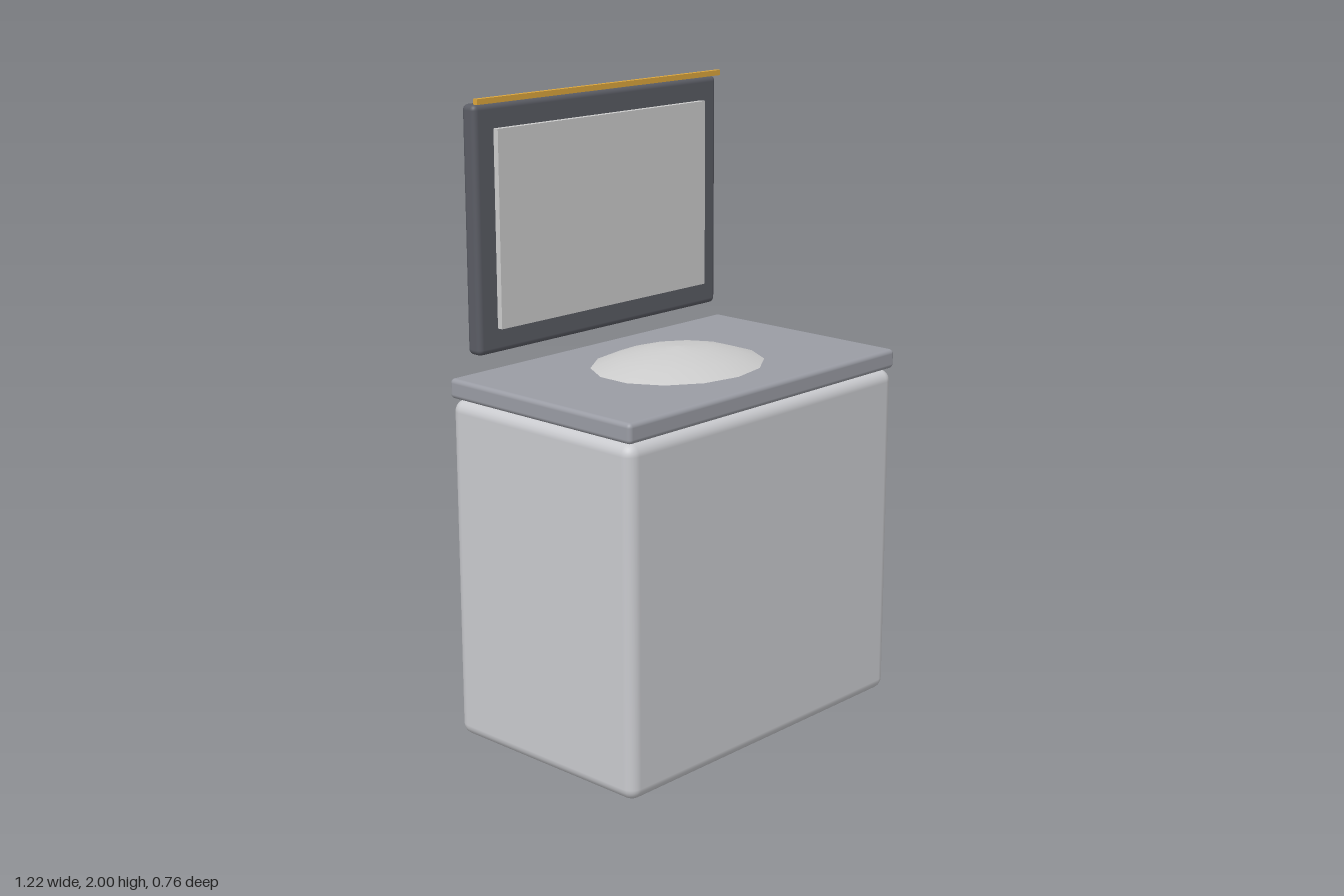
import * as THREE from 'three';
import { RoundedBoxGeometry } from 'three/addons/geometries/RoundedBoxGeometry.js';

// Box from its extents: half width in x, then y and z ranges; r rounds the edges.
function block(name, color, halfX, [y0, y1], [z0, z1], r = 0) {
  const size = [halfX * 2, y1 - y0, z1 - z0];
  const geometry = r ? new RoundedBoxGeometry(...size, 3, r) : new THREE.BoxGeometry(...size);
  const mesh = new THREE.Mesh(geometry, new THREE.MeshStandardMaterial({ color }));
  mesh.name = name;
  mesh.position.set(0, (y0 + y1) / 2, (z0 + z1) / 2);
  return mesh;
}

// Shallow oval dome with 14 sides, its rim sunk just below the countertop.
function basin() {
  const profile = [[0.31, 1.15], [0.293, 1.16], [0.21, 1.187], [0.11, 1.208], [0, 1.216]]
    .map(([x, y]) => new THREE.Vector2(x, y));
  const mesh = new THREE.Mesh(
    new THREE.LatheGeometry(profile, 14),
    new THREE.MeshStandardMaterial({ color: 0xf0f0f2 })
  );
  mesh.name = 'basin';
  mesh.scale.z = 0.25 / 0.293;
  return mesh;
}

export function createModel() {
  const model = new THREE.Group();
  model.name = 'washstand';

  // Cabinet, countertop and basin
  model.add(
    block('cabinet', 0xc9cace, 0.607, [0, 1.095], [-0.38, 0.38], 0.038),
    block('countertop', 0x9a9ca4, 0.608, [1.098, 1.16], [-0.38, 0.38], 0.014),
    basin()
  );

  // Mirror and light bar floating behind the countertop
  const mirror = new THREE.Group();
  mirror.name = 'mirror';
  mirror.add(
    block('mirrorFrame', 0x5a5c64, 0.533, [1.221, 1.981], [-0.38, -0.322], 0.018),
    block('mirrorGlass', 0xd3d5d6, 0.457, [1.298, 1.906], [-0.33, -0.303]),
    block('lightBar', 0xdca63c, 0.533, [1.983, 2], [-0.323, -0.306])
  );
  model.add(mirror);
  return model;
}
